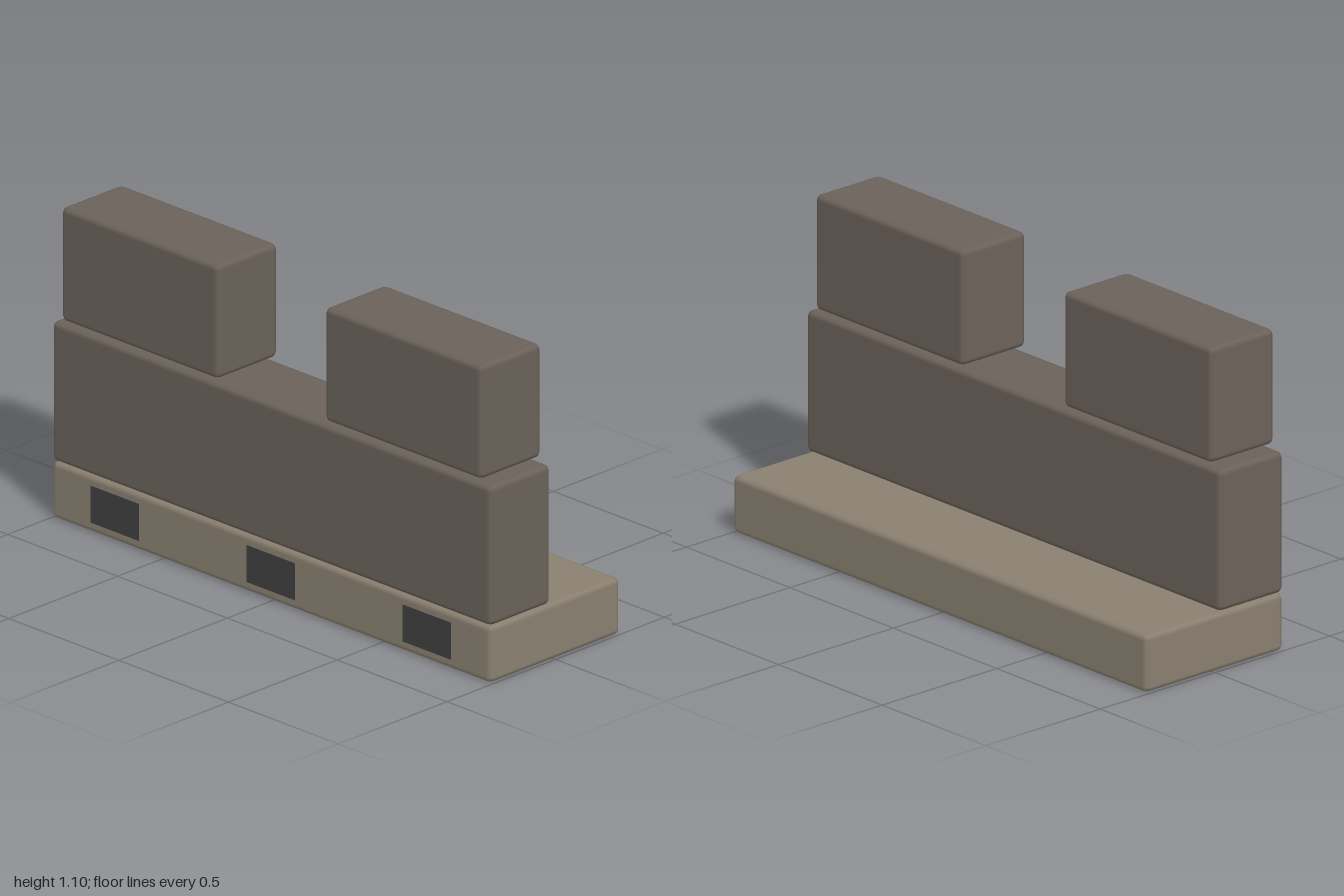
import * as THREE from 'three';
import { RoundedBoxGeometry } from 'three/addons/geometries/RoundedBoxGeometry.js';

const material = (color) => new THREE.MeshStandardMaterial({ color });

export function createModel() {
  const group = new THREE.Group();
  const lightStone = material(0x8a8070);
  const darkStone = material(0x6b625a);
  const shadow = material(0x404040);

  const add = (name, geometry, mat, x, y, z) => {
    const mesh = new THREE.Mesh(geometry, mat);
    mesh.name = name;
    mesh.position.set(x, y, z);
    group.add(mesh);
  };
  // Stone block with softened, bevelled edges
  const block = (w, h, d) => new RoundedBoxGeometry(w, h, d, 1, 0.02);

  // Walkway slab, with the parapet standing along its front edge
  add('walkway', block(2, 0.2, 0.6), lightStone, 0, 0.1, 0);
  add('parapetWall', block(2, 0.49, 0.28), darkStone, 0, 0.445, 0.16);

  // Merlons at both ends, leaving a gap between them
  for (const side of [-1, 1]) {
    add(side > 0 ? 'leftMerlon' : 'rightMerlon',
      block(0.715, 0.4, 0.28), darkStone, side * 0.6, 0.902, 0.16);
  }

  // Dark openings set almost flush in the slab's front face
  for (const [name, x] of [['rightOpening', -0.71], ['middleOpening', 0], ['leftOpening', 0.71]]) {
    add(name, new THREE.BoxGeometry(0.22, 0.13, 0.1), shadow, x, 0.1, 0.2502);
  }
  return group;
}
